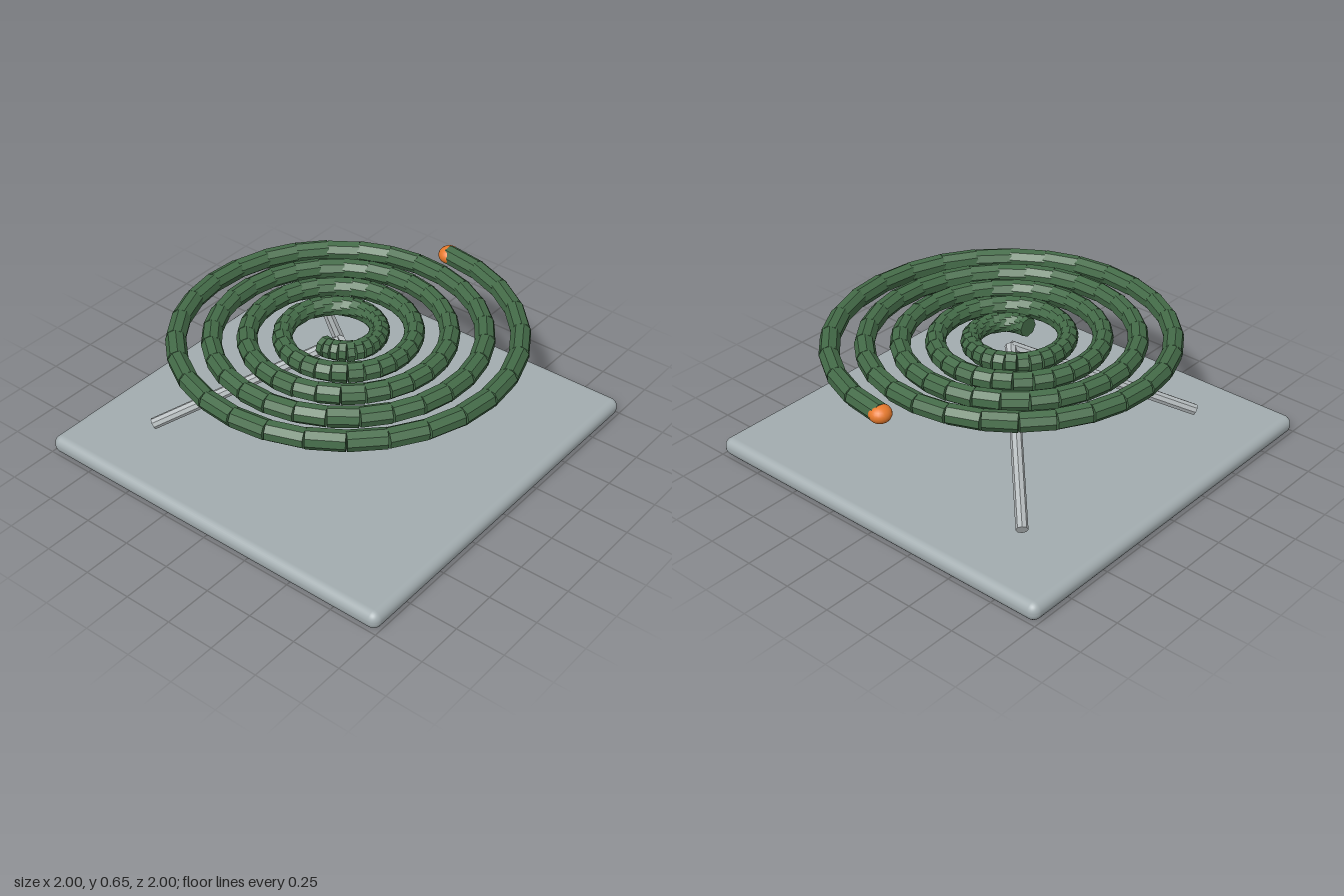
import * as THREE from 'three';
import { RoundedBoxGeometry } from 'three/addons/geometries/RoundedBoxGeometry.js';

const UP = new THREE.Vector3(0, 1, 0);

// straight rod between two points
function rod(name, a, b, radius, sides, material) {
  const dir = b.clone().sub(a);
  const mesh = new THREE.Mesh(new THREE.CylinderGeometry(radius, radius, dir.length(), sides), material);
  mesh.name = name;
  mesh.position.copy(a).add(b).multiplyScalar(0.5);
  mesh.quaternion.setFromUnitVectors(UP, dir.normalize());
  return mesh;
}

export function createModel() {
  const model = new THREE.Group();
  model.name = 'coilOnStand';
  const baseMat = new THREE.MeshStandardMaterial({ color: 0xa3adb0 });
  const legMat = new THREE.MeshStandardMaterial({ color: 0xb4babc, flatShading: true });
  const coilMat = new THREE.MeshStandardMaterial({ color: 0x446b48, flatShading: true });
  const tipMat = new THREE.MeshStandardMaterial({ color: 0xe87a2c });

  // square base plate with rounded rim
  const base = new THREE.Mesh(new RoundedBoxGeometry(2, 0.094, 2, 4, 0.044), baseMat);
  base.name = 'basePlate';
  base.position.y = 0.047;
  model.add(base);

  // two slanted legs spreading to the back corners
  for (const side of [1, -1]) {
    model.add(rod(side > 0 ? 'leftLeg' : 'rightLeg',
      new THREE.Vector3(0, 0.555, 0), new THREE.Vector3(side * 0.657, 0.142, -0.635), 0.029, 8, legMat));
  }

  // flat spiral of straight segments
  const coil = new THREE.Group();
  coil.name = 'coil';
  const segments = 128, turns = 4.5, inner = 0.128, outer = 0.885;
  const spiral = (i) => {
    const t = i / segments;
    const angle = Math.PI - t * turns * Math.PI * 2;
    const r = inner + (outer - inner) * t;
    return new THREE.Vector3(r * Math.cos(angle), 0.602, r * Math.sin(angle));
  };
  for (let i = 0; i < segments; i++) {
    coil.add(rod('coilSegment', spiral(i), spiral(i + 1), 0.05, 8, coilMat));
  }
  model.add(coil);

  // slightly flattened glowing tip at the outer end
  const tip = new THREE.Mesh(new THREE.SphereGeometry(1, 20, 14), tipMat);
  tip.name = 'coilTip';
  tip.scale.set(0.056, 0.044, 0.054);
  tip.position.copy(spiral(segments));
  model.add(tip);

  return model;
}
